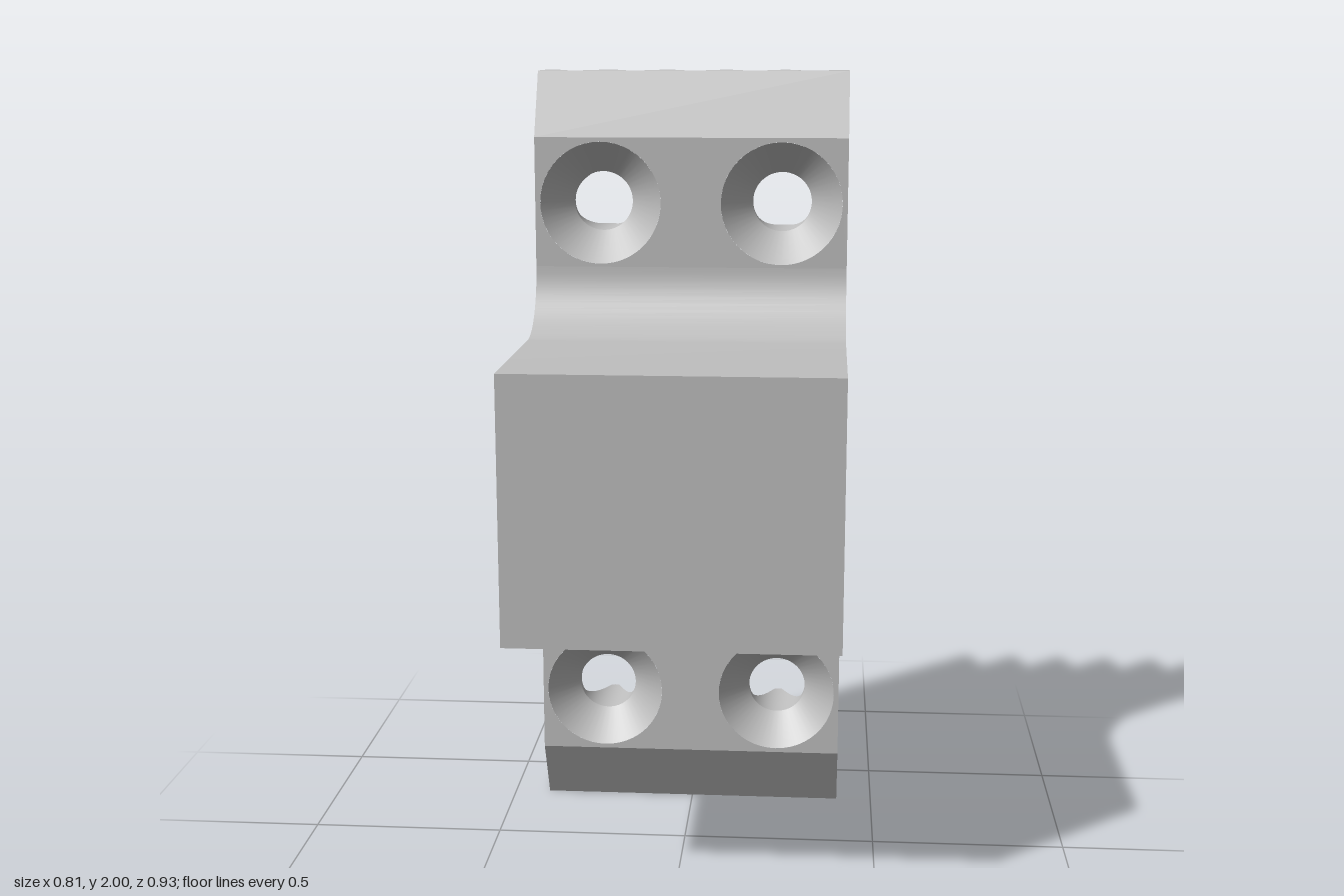
import * as THREE from 'three';
import { toCreasedNormals } from 'three/addons/utils/BufferGeometryUtils.js';

const W = 0.405;                       // half width
const PITCH = 0.1567;                  // tooth spacing
const VALLEY = -0.298, PEAK = -0.467;  // groove root and tooth tip depth
const TIP = 0.0135, FLANK = 1.233;     // rounding radius and flank angle
const FACE = -0.2, EDGE = -0.285;      // plate front and chamfer end
const HOLE_X = 1.5 * PITCH, HOLE_Y = [0.335, 1.665];
const R_HOLE = 0.077, R_SINK = 0.157, SINK_Z = -0.28;
const SEG = 48;

// Half a tooth, from valley to peak, as [offset, z]
const halfTooth = [];
for (let i = 0; i <= 5; i++) {
  const a = FLANK * i / 5;
  halfTooth.push([TIP * Math.sin(a), VALLEY - TIP * (1 - Math.cos(a))]);
}
for (let i = 5; i >= 0; i--) {
  const a = FLANK * i / 5;
  halfTooth.push([PITCH / 2 - TIP * Math.sin(a), PEAK + TIP * (1 - Math.cos(a))]);
}

// Depth of the toothed back at any x
function backZ(x) {
  const t = Math.abs(x) % PITCH;
  const u = Math.min(t, PITCH - t);
  for (let i = 1; i < halfTooth.length; i++) {
    const [u0, z0] = halfTooth[i - 1], [u1, z1] = halfTooth[i];
    if (u <= u1) return z0 + (z1 - z0) * (u - u0) / (u1 - u0);
  }
  return PEAK;
}

// All x positions where the back bends or a hole rim needs a point
function backXs() {
  const xs = [-W, W];
  for (let k = -3; k <= 3; k++) {
    for (const [u] of halfTooth) xs.push(k * PITCH + u, k * PITCH - u);
  }
  for (const s of [-1, 1]) {
    for (let i = 0; i <= SEG / 2; i++) xs.push(s * HOLE_X + R_HOLE * Math.cos(2 * Math.PI * i / SEG));
  }
  return xs.filter(x => Math.abs(x) <= W).sort((a, b) => a - b)
    .filter((x, i, all) => i === 0 || x - all[i - 1] > 1e-5);
}

// Half height of the hole opening at x
function holeHalf(x) {
  const d = Math.abs(x) - HOLE_X;
  return Math.sqrt(Math.max(0, R_HOLE * R_HOLE - d * d));
}

// Surface from a list of four-cornered faces
function skin(quads) {
  const pos = [];
  for (const [a, b, c, d] of quads) pos.push(...a, ...b, ...c, ...a, ...c, ...d);
  const g = new THREE.BufferGeometry();
  g.setAttribute('position', new THREE.Float32BufferAttribute(pos, 3));
  return toCreasedNormals(g, 0.5);
}

// Front outline as [y, z], bottom to top
function frontProfile() {
  const lower = [[0, EDGE], [0.167, FACE]];
  for (let i = 0; i <= 14; i++) {
    const a = Math.PI / 2 * i / 14;
    lower.push([0.5 + 0.17 * Math.sin(a), -0.03 - 0.17 * Math.cos(a)]);
  }
  lower.push([0.67, 0.467]);
  return [...lower, ...lower.map(([y, z]) => [2 - y, z]).reverse()];
}

export function createModel() {
  const group = new THREE.Group();
  const grey = new THREE.MeshStandardMaterial({ color: 0xbfbfbf });
  grey.name = 'plain grey';
  const add = (name, geometry) => {
    const mesh = new THREE.Mesh(geometry, grey);
    mesh.name = name;
    group.add(mesh);
    return mesh;
  };

  // Chamfers, fillets and block, swept across the width
  const profile = frontProfile();
  const front = [];
  for (let i = 1; i < profile.length; i++) {
    const [y0, z0] = profile[i - 1], [y1, z1] = profile[i];
    if (Math.abs(z0 - FACE) < 1e-6 && Math.abs(z1 - FACE) < 1e-6) continue; // drilled faces
    front.push([[-W, y0, z0], [W, y0, z0], [W, y1, z1], [-W, y1, z1]]);
  }
  add('blockAndFillets', skin(front));

  // Flat plate faces with countersink openings
  for (const [y0, y1, cy] of [[0.167, 0.5, HOLE_Y[0]], [1.5, 1.833, HOLE_Y[1]]]) {
    const shape = new THREE.Shape();
    shape.moveTo(-W, y0).lineTo(W, y0).lineTo(W, y1).lineTo(-W, y1).closePath();
    for (const s of [-1, 1]) {
      shape.holes.push(new THREE.Path().absarc(s * HOLE_X, cy, R_SINK, 0, Math.PI * 2, true));
    }
    add('plateFace', new THREE.ShapeGeometry(shape, SEG)).position.z = FACE;
  }

  // Side faces
  const backEdge = backZ(W);
  const outline = [...profile, [2, backEdge], [0, backEdge]];
  for (const s of [-1, 1]) {
    const shape = new THREE.Shape(outline.map(([y, z]) => new THREE.Vector2(-s * z, y)));
    const g = new THREE.ShapeGeometry(shape).rotateY(s * Math.PI / 2).translate(s * W, 0, 0);
    add(s > 0 ? 'leftSide' : 'rightSide', g);
  }

  // Toothed back with hole gaps, and the toothed ends
  const back = [], top = [], bottom = [];
  const xs = backXs();
  for (let i = 1; i < xs.length; i++) {
    const x0 = xs[i - 1], x1 = xs[i];
    const z0 = backZ(x0), z1 = backZ(x1);
    const stops = x => [0, ...HOLE_Y.flatMap(c => [c - holeHalf(x), c + holeHalf(x)]), 2];
    const a = stops(x0), b = stops(x1);
    for (let k = 0; k < 6; k += 2) {
      back.push([[x0, a[k], z0], [x0, a[k + 1], z0], [x1, b[k + 1], z1], [x1, b[k], z1]]);
    }
    top.push([[x0, 2, z0], [x0, 2, EDGE], [x1, 2, EDGE], [x1, 2, z1]]);
    bottom.push([[x0, 0, z0], [x1, 0, z1], [x1, 0, EDGE], [x0, 0, EDGE]]);
  }
  add('toothedBack', skin(back));
  add('topEnd', skin(top));
  add('bottomEnd', skin(bottom));

  // Countersunk screw holes, running out through the teeth
  for (const cx of [-HOLE_X, HOLE_X]) {
    for (const cy of HOLE_Y) {
      const walls = [];
      const at = (r, i, z) => {
        const a = 2 * Math.PI * (i % SEG) / SEG;
        const x = cx + r * Math.cos(a);
        return [x, cy + r * Math.sin(a), z ?? backZ(x)];
      };
      for (let i = 0; i < SEG; i++) {
        const j = i + 1;
        walls.push([at(R_SINK, i, FACE), at(R_SINK, j, FACE), at(R_HOLE, j, SINK_Z), at(R_HOLE, i, SINK_Z)]);
        walls.push([at(R_HOLE, i, SINK_Z), at(R_HOLE, j, SINK_Z), at(R_HOLE, j), at(R_HOLE, i)]);
      }
      add('screwHole', skin(walls));
    }
  }
  return group;
}
